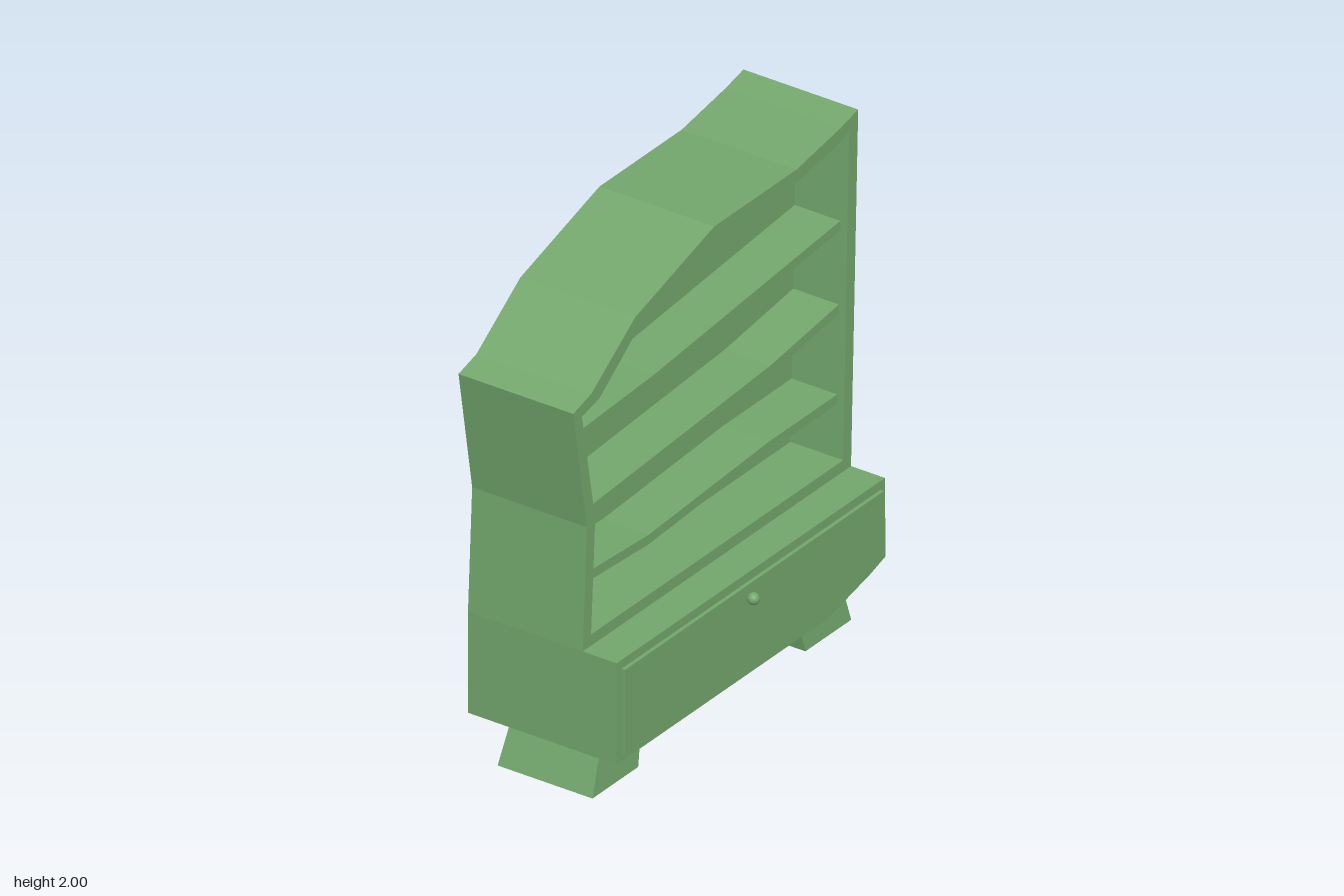
import * as THREE from 'three';

const material = new THREE.MeshStandardMaterial({ color: 0x72a66c, flatShading: true });
const knobMaterial = new THREE.MeshStandardMaterial({ color: 0x72a66c });

const toPoints = (list) => list.map(([x, y]) => new THREE.Vector2(x, y));

// Extrudes a front outline from z0 to z1, with an optional opening
function slab(name, outline, z0, z1, opening) {
  const shape = new THREE.Shape(toPoints(outline));
  if (opening) shape.holes.push(new THREE.Path(toPoints(opening)));
  const geometry = new THREE.ExtrudeGeometry(shape, { depth: z1 - z0, bevelEnabled: false });
  geometry.translate(0, 0, z0);
  const mesh = new THREE.Mesh(geometry, material);
  mesh.name = name;
  return mesh;
}

// Splayed leg: a box whose top and bottom corners are moved to given x ranges
function leg(name, bottom, top) {
  const geometry = new THREE.BoxGeometry(1, 1, 1);
  const p = geometry.attributes.position;
  for (let i = 0; i < p.count; i++) {
    const up = p.getY(i) > 0;
    const range = up ? top : bottom;
    const z = up ? [-0.22, 0.145] : [-0.24, 0.165];
    p.setXYZ(i, range[p.getX(i) > 0 ? 1 : 0], up ? 0.25 : 0, z[p.getZ(i) > 0 ? 1 : 0]);
  }
  geometry.computeVertexNormals();
  const mesh = new THREE.Mesh(geometry, material);
  mesh.name = name;
  return mesh;
}

export function createModel() {
  const group = new THREE.Group();
  group.name = 'crookedBookcase';
  const back = -0.345, recess = -0.08, front = 0.145, baseFront = 0.29;

  // Crooked upper case with its inset opening
  const outer = [
    [-0.8, 0.595], [0.812, 0.595], [0.855, 2], [0.75, 1.975], [0.485, 1.93],
    [-0.01, 1.93], [-0.485, 1.785], [-0.75, 1.6], [-0.857, 1.57], [-0.775, 1.08],
  ];
  const inner = [
    [-0.75, 0.64], [0.765, 0.64], [0.8, 1.935], [0.71, 1.91], [0.46, 1.875],
    [-0.01, 1.875], [-0.455, 1.74], [-0.7, 1.56], [-0.805, 1.535], [-0.725, 1.09],
  ];
  group.add(slab('backPanel', outer, back, recess));
  group.add(slab('caseFrame', outer, recess, front, inner));

  // Base cabinet and its drawer
  group.add(slab('baseCabinet', [
    [-0.8, 0.19], [0.465, 0.19], [0.72, 0.25], [0.815, 0.28], [0.812, 0.595], [-0.8, 0.595],
  ], back, baseFront));
  group.add(slab('drawerFront', [
    [-0.77, 0.22], [0.47, 0.22], [0.7, 0.275], [0.78, 0.3], [0.785, 0.56], [-0.77, 0.56],
  ], baseFront, 0.305));

  const knob = new THREE.Mesh(new THREE.SphereGeometry(0.023, 20, 14), knobMaterial);
  knob.name = 'drawerKnob';
  knob.position.set(-0.027, 0.51, 0.325);
  group.add(knob);

  // Bent shelves, each given by its top edge
  const shelves = [
    [[-0.74, 0.87], [-0.36, 0.85], [0.36, 0.89], [0.772, 0.89]],
    [[-0.727, 1.125], [0.37, 1.19], [0.781, 1.245]],
    [[-0.788, 1.455], [-0.33, 1.475], [0.79, 1.575]],
  ];
  shelves.forEach((top, i) => {
    const under = top.map(([x, y]) => [x, y - 0.038]).reverse();
    group.add(slab(`shelf${i + 1}`, [...top, ...under], recess, 0.115));
  });

  // Splayed feet
  group.add(leg('rightLeg', [-0.77, -0.495], [-0.67, -0.435]));
  group.add(leg('leftLeg', [0.51, 0.785], [0.45, 0.72]));

  return group;
}
